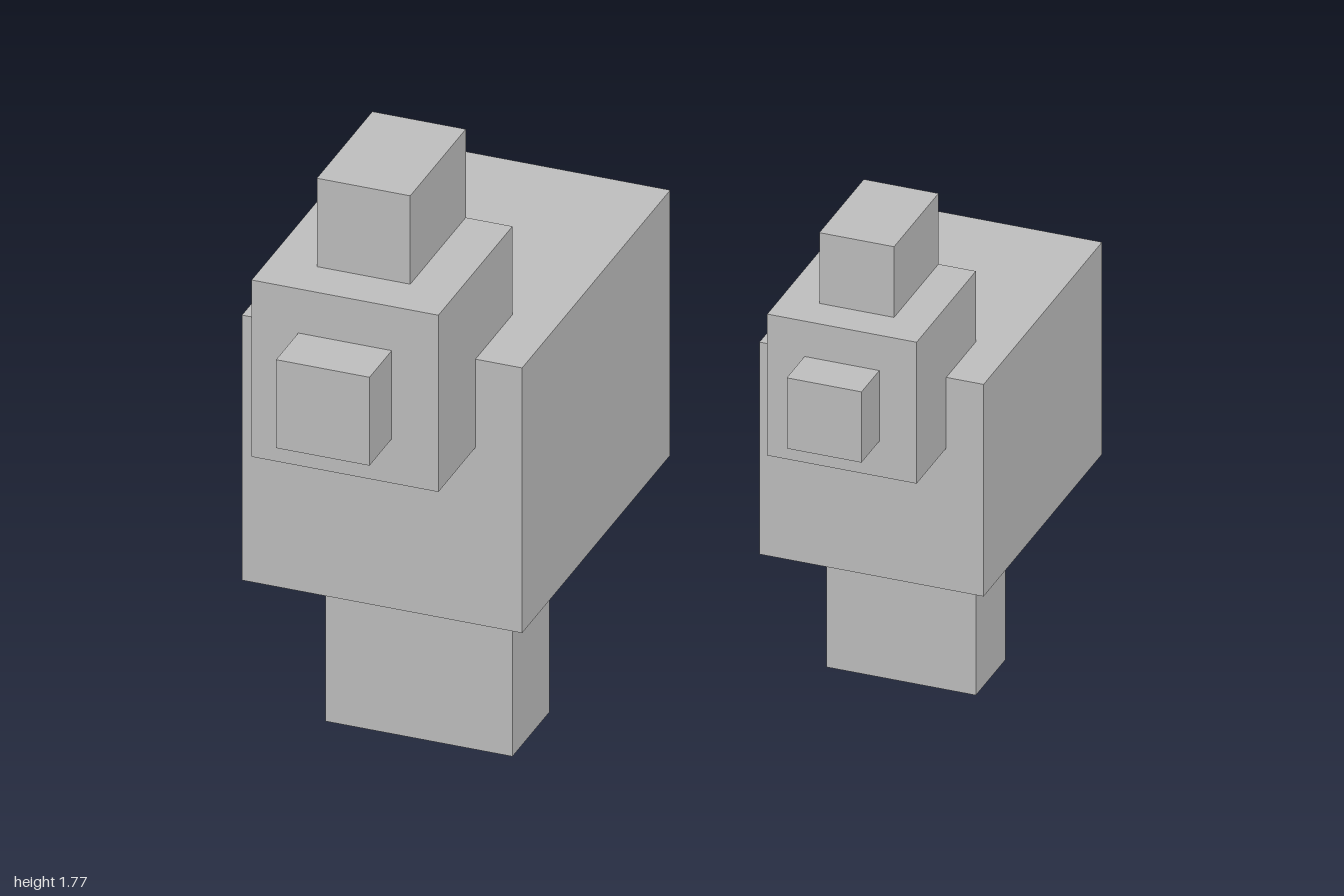
import * as THREE from 'three';

// Part boxes in block units: [name, width, y0, y1, z0, z1]
const PARTS = [
  ['legs', 2, 0, 2, 0, 1],
  ['body', 3, 2, 5, -2, 2],
  ['head', 2, 4, 6, 1, 3],
  ['beak', 1, 4.5, 5.5, 3, 3.6],
  ['comb', 1, 6, 7, 1, 2.5],
];

function makeBird(name, unit, x, z, material) {
  const bird = new THREE.Group();
  bird.name = name;
  for (const [part, w, y0, y1, z0, z1] of PARTS) {
    const mesh = new THREE.Mesh(new THREE.BoxGeometry(w * unit, (y1 - y0) * unit, (z1 - z0) * unit), material);
    mesh.name = part;
    mesh.position.set(0, (y0 + y1) / 2 * unit, (z0 + z1) / 2 * unit);
    bird.add(mesh);
  }
  bird.position.set(x, 0, z);
  return bird;
}

export function createModel() {
  const grey = new THREE.MeshStandardMaterial({ color: 0xc0c0c0 });
  grey.name = 'light grey';

  const model = new THREE.Group();
  model.name = 'blockBirds';
  // Large bird in front on the right, smaller one behind on the left
  model.add(makeBird('largeBird', 0.2535, -0.471, 0.0874, grey));
  model.add(makeBird('smallBird', 0.2028, 0.547, -0.5944, grey));
  return model;
}
